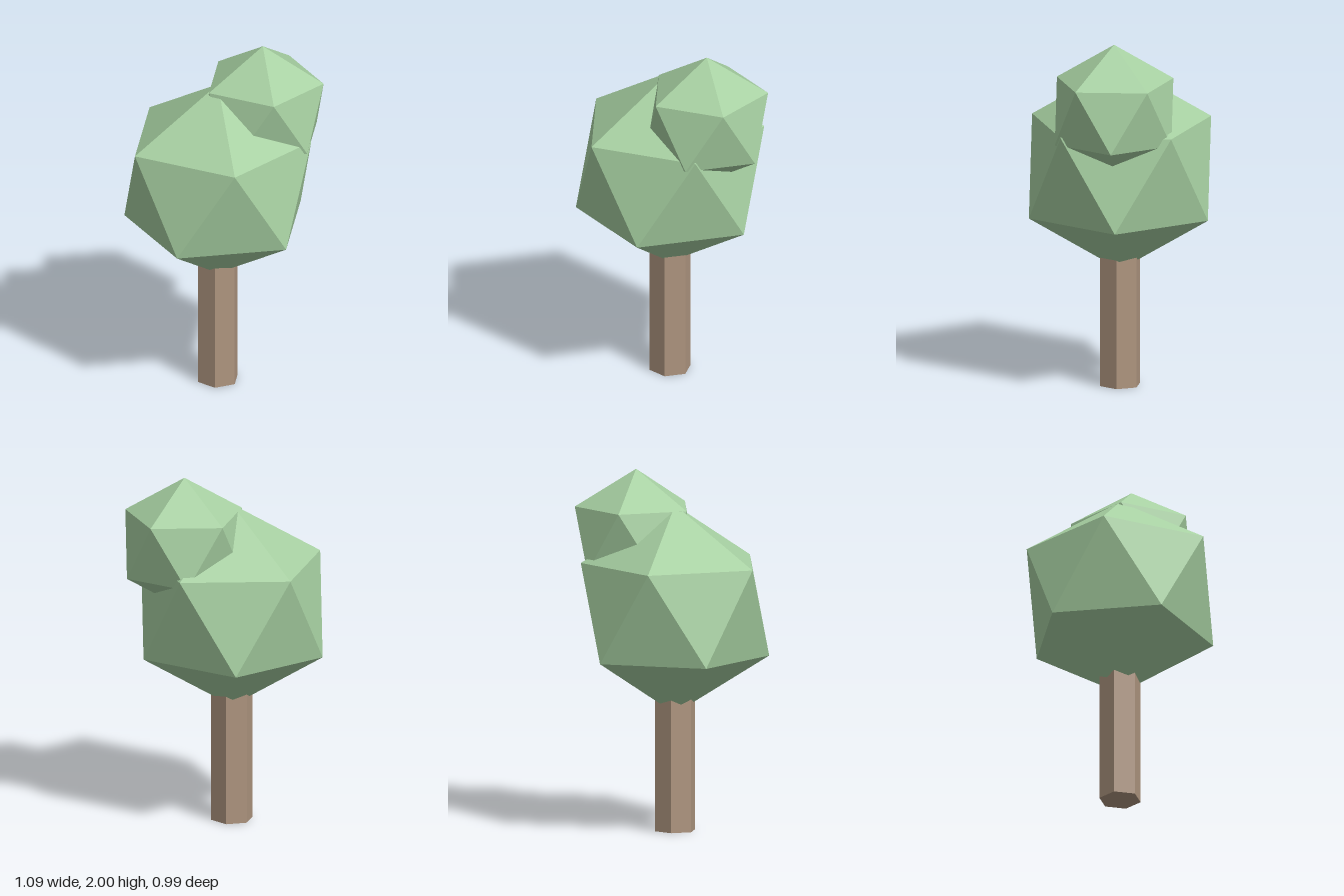
import * as THREE from 'three';

const leaf = new THREE.MeshStandardMaterial({ color: 0xa6cfa1, flatShading: true });
const bark = new THREE.MeshStandardMaterial({ color: 0xae957f, flatShading: true });

const TREE_X = -0.027;

// Icosahedron standing on one corner, with an upper-ring corner towards +x
function crown(name, radius, x, y, z) {
  const geometry = new THREE.IcosahedronGeometry(radius, 0);
  geometry.rotateZ(-Math.atan(2 / (1 + Math.sqrt(5))));
  const mesh = new THREE.Mesh(geometry, leaf);
  mesh.name = name;
  mesh.position.set(x, y, z);
  return mesh;
}

export function createModel() {
  const tree = new THREE.Group();
  tree.name = 'tree';

  // Six-sided trunk, ending inside the main crown
  const height = 0.78;
  const trunk = new THREE.Mesh(new THREE.CylinderGeometry(0.118, 0.118, height, 6), bark);
  trunk.name = 'trunk';
  trunk.position.set(TREE_X, height / 2, 0);
  tree.add(trunk);

  // Large main crown and the smaller one growing from its upper back
  tree.add(crown('mainCrown', 0.584, TREE_X, 1.238, 0));
  tree.add(crown('upperCrown', 0.38, 0.205, 1.62, -0.147));

  return tree;
}
